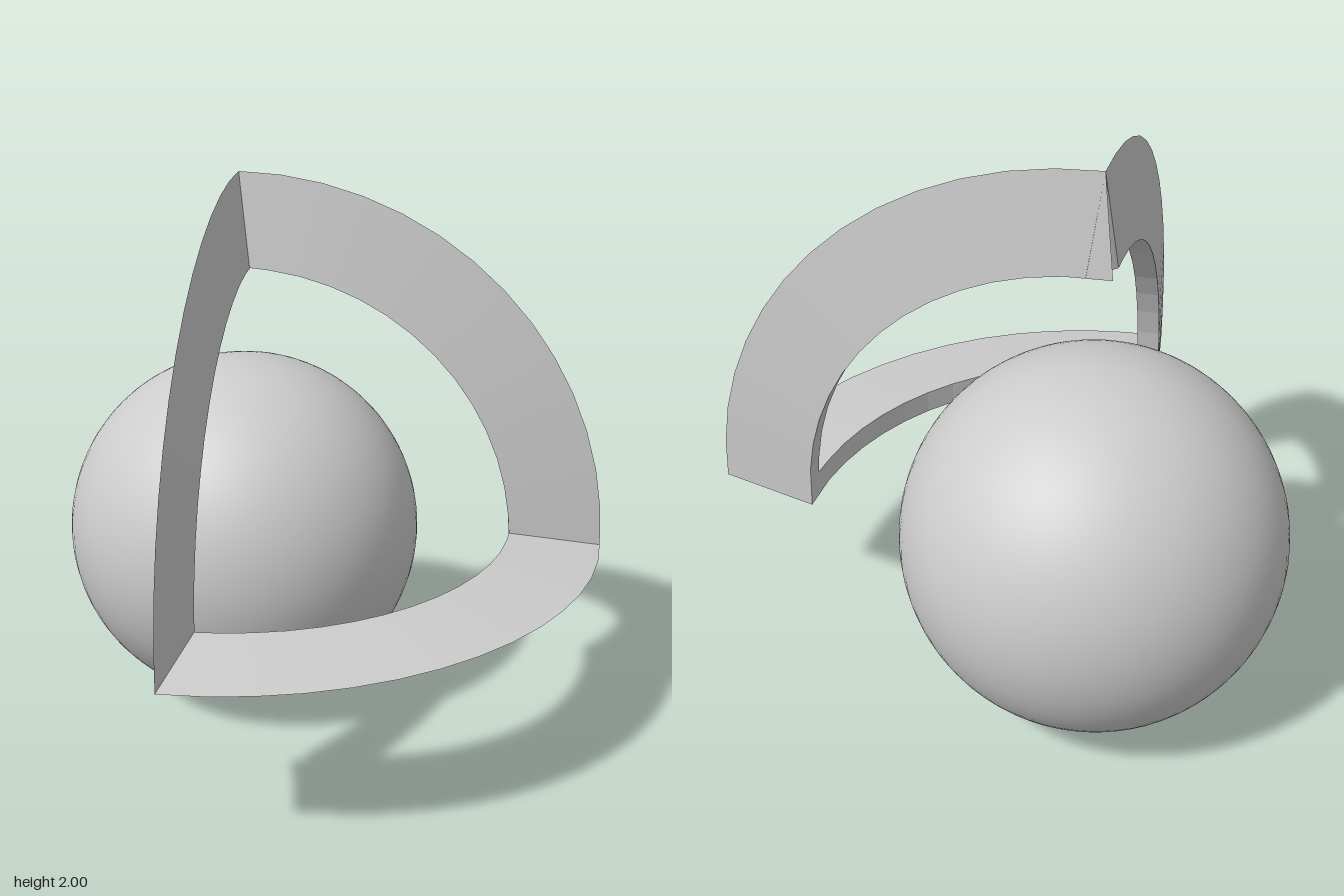
import * as THREE from 'three';

const CENTRE = [-0.341, 0.659, -0.341];
const OUTER = 1.341, INNER = 1.006, HALF_WIDTH = 0.042, STEPS = 14;

// Quarter ring of triangular section: sharp outer edge, flat inner band, mitred ends.
// Swept from axis u to axis v; mitre is +1 or -1 for the slope of the end cuts.
function quarterRing(u, v, mitre) {
  const n = u.clone().cross(v);
  const section = [[OUTER, 0], [INNER, HALF_WIDTH], [INNER, -HALF_WIDTH]];
  const positions = [], index = [];
  for (let k = 0; k <= STEPS; k++) {
    const t = (k / STEPS) * Math.PI / 2;
    for (const [r, w] of section) {
      const p = new THREE.Vector3()
        .addScaledVector(u, r * Math.cos(t))
        .addScaledVector(v, r * Math.sin(t))
        .addScaledVector(n, w);
      if (k === 0) p.addScaledVector(v, mitre * w);
      if (k === STEPS) p.addScaledVector(u, mitre * w);
      positions.push(p.x, p.y, p.z);
    }
  }
  for (let k = 0; k < STEPS; k++) {
    for (let i = 0; i < 3; i++) {
      const a = k * 3 + i, b = k * 3 + (i + 1) % 3;
      index.push(b, a, a + 3, b, a + 3, b + 3);
    }
  }
  const e = STEPS * 3;
  index.push(0, 1, 2, e, e + 2, e + 1); // end caps
  const geometry = new THREE.BufferGeometry();
  geometry.setAttribute('position', new THREE.Float32BufferAttribute(positions, 3));
  geometry.setIndex(index);
  geometry.computeVertexNormals();
  return geometry;
}

export function createModel() {
  const model = new THREE.Group();
  model.name = 'sphereWithArcFrame';
  const smooth = new THREE.MeshStandardMaterial({ color: 0xcccccc });
  const flat = new THREE.MeshStandardMaterial({ color: 0xcccccc, flatShading: true });

  // Ball
  const ball = new THREE.Mesh(new THREE.SphereGeometry(0.659, 64, 48), smooth);
  ball.name = 'ball';
  ball.position.set(...CENTRE);
  model.add(ball);

  // Three arcs framing one octant around the ball
  const frame = new THREE.Group();
  frame.name = 'arcFrame';
  frame.position.set(...CENTRE);
  const X = new THREE.Vector3(1, 0, 0), Y = new THREE.Vector3(0, 1, 0), Z = new THREE.Vector3(0, 0, 1);
  // The side arc's end cuts slope the other way, leaving small notches at its joints
  for (const [name, u, v, mitre] of [
    ['backArc', X, Y, 1],
    ['sideArc', Y, Z, -1],
    ['levelArc', Z, X, 1],
  ]) {
    const arc = new THREE.Mesh(quarterRing(u, v, mitre), flat);
    arc.name = name;
    frame.add(arc);
  }
  model.add(frame);
  return model;
}
